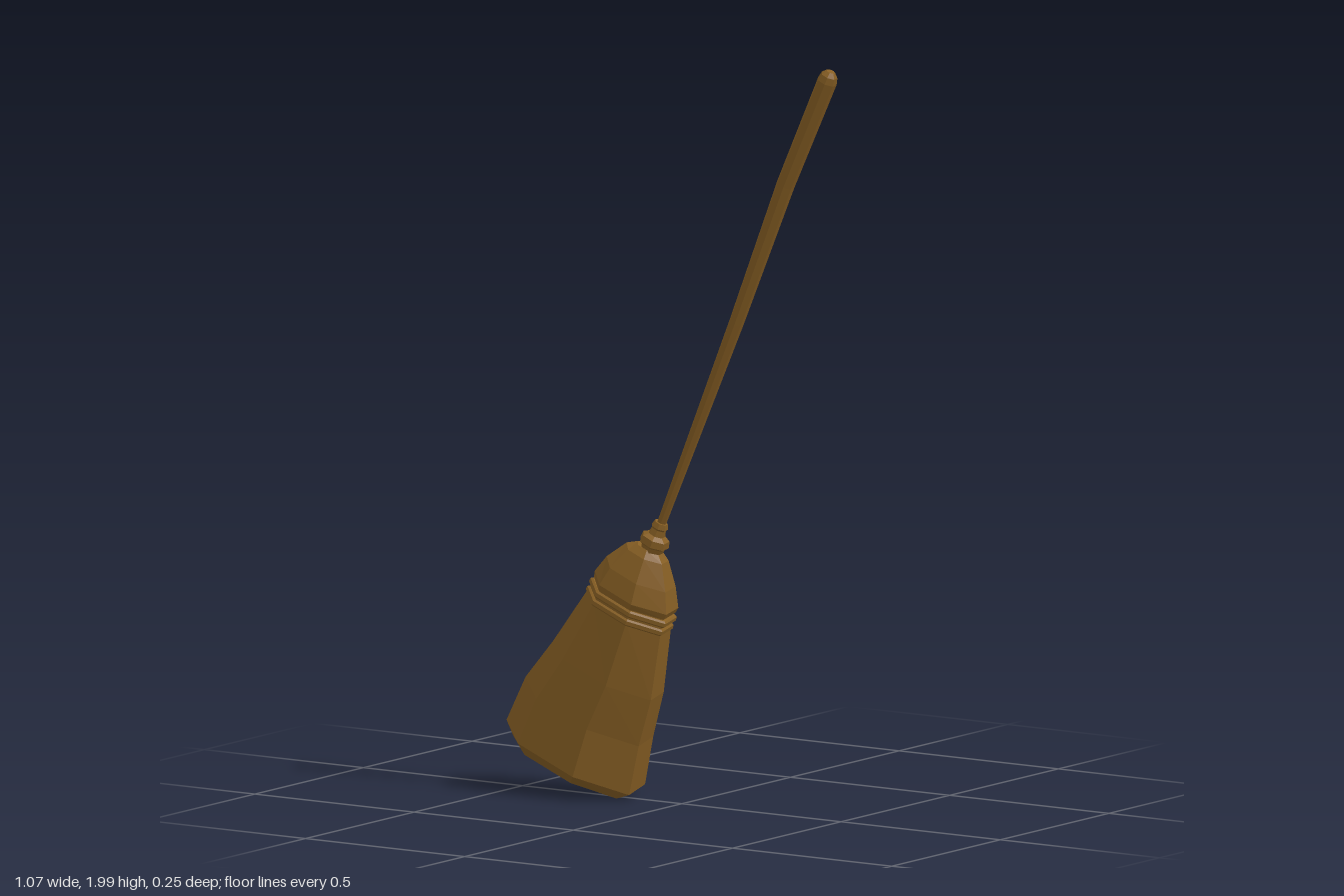
import * as THREE from 'three';

const SIDES = 7;
const START = THREE.MathUtils.degToRad(17);

// Lofts seven-sided rings [x, y, z, half width, half depth], listed bottom to top, tilted with the broom.
function loft(rings, tilt = 0.37) {
  const ux = Math.sqrt(1 - tilt * tilt);
  const point = ([x, y, z, w, d], j) => {
    const a = START + (j * Math.PI * 2) / SIDES;
    const u = Math.cos(a) * w;
    return [x + u * ux, y - u * tilt, z + Math.sin(a) * d];
  };
  const pos = [];
  const tri = (...corners) => corners.forEach((c) => pos.push(...c));
  const first = rings[0];
  const last = rings[rings.length - 1];
  for (let j = 0; j < SIDES; j++) {
    for (let i = 0; i < rings.length - 1; i++) {
      const a = point(rings[i], j);
      const b = point(rings[i], j + 1);
      const c = point(rings[i + 1], j + 1);
      const d = point(rings[i + 1], j);
      tri(a, d, c);
      tri(a, c, b);
    }
    // End caps
    tri(first.slice(0, 3), point(first, j), point(first, j + 1));
    tri(last.slice(0, 3), point(last, j + 1), point(last, j));
  }
  const geometry = new THREE.BufferGeometry();
  geometry.setAttribute('position', new THREE.Float32BufferAttribute(pos, 3));
  geometry.computeVertexNormals();
  return geometry;
}

export function createModel() {
  const broom = new THREE.Group();
  broom.name = 'broom';
  const brown = new THREE.MeshStandardMaterial({ color: 0x875f24 });
  brown.name = 'brown';
  brown.flatShading = true;

  const add = (name, rings, tilt) => {
    const mesh = new THREE.Mesh(loft(rings, tilt), brown);
    mesh.name = name;
    broom.add(mesh);
  };

  // Flared bristles with a chamfered tip
  add('bristles', [
    [-0.35, 0.073, 0, 0.185, 0.1],
    [-0.335, 0.1, 0, 0.22, 0.132],
    [-0.29, 0.225, 0.003, 0.203, 0.121],
    [-0.225, 0.34, 0.01, 0.175, 0.106],
    [-0.152, 0.505, 0.02, 0.13, 0.084],
    [-0.138, 0.54, 0.021, 0.122, 0.082],
  ]);

  // Binding cords around the top of the bristles
  for (let i = 0; i < 2; i++) {
    const x = -0.156 + i * 0.01;
    const y = 0.497 + i * 0.022;
    add('bindingCord', [
      [x, y, 0.02, 0.131, 0.085],
      [x + 0.002, y + 0.004, 0.02, 0.136, 0.09],
      [x + 0.006, y + 0.013, 0.02, 0.135, 0.089],
      [x + 0.008, y + 0.017, 0.02, 0.129, 0.084],
    ]);
  }

  // Rounded shoulder
  add('shoulder', [
    [-0.137, 0.54, 0.021, 0.126, 0.088],
    [-0.131, 0.555, 0.021, 0.129, 0.092],
    [-0.115, 0.605, 0.023, 0.106, 0.078],
    [-0.092, 0.662, 0.026, 0.064, 0.05],
    [-0.083, 0.68, 0.027, 0.035, 0.033],
  ]);

  // Stepped collar gripping the handle
  add('collar', [
    [-0.086, 0.65, 0.027, 0.028, 0.028],
    [-0.071, 0.685, 0.028, 0.033, 0.033],
    [-0.069, 0.69, 0.028, 0.041, 0.041],
    [-0.062, 0.707, 0.029, 0.038, 0.038],
    [-0.059, 0.715, 0.029, 0.023, 0.023],
    [-0.052, 0.73, 0.029, 0.019, 0.019],
    [-0.05, 0.735, 0.029, 0.023, 0.023],
    [-0.044, 0.748, 0.03, 0.018, 0.018],
  ], 0.4);

  // Handle, thickening towards its rounded end
  add('handle', [
    [-0.055, 0.72, 0.029, 0.012, 0.012],
    [0.205, 1.3, 0.05, 0.02, 0.02],
    [0.37, 1.68, 0.066, 0.025, 0.024],
    [0.508, 1.966, 0.077, 0.027, 0.026],
    [0.516, 1.983, 0.078, 0.023, 0.022],
    [0.521, 1.994, 0.078, 0.012, 0.012],
  ], 0.4);

  return broom;
}
